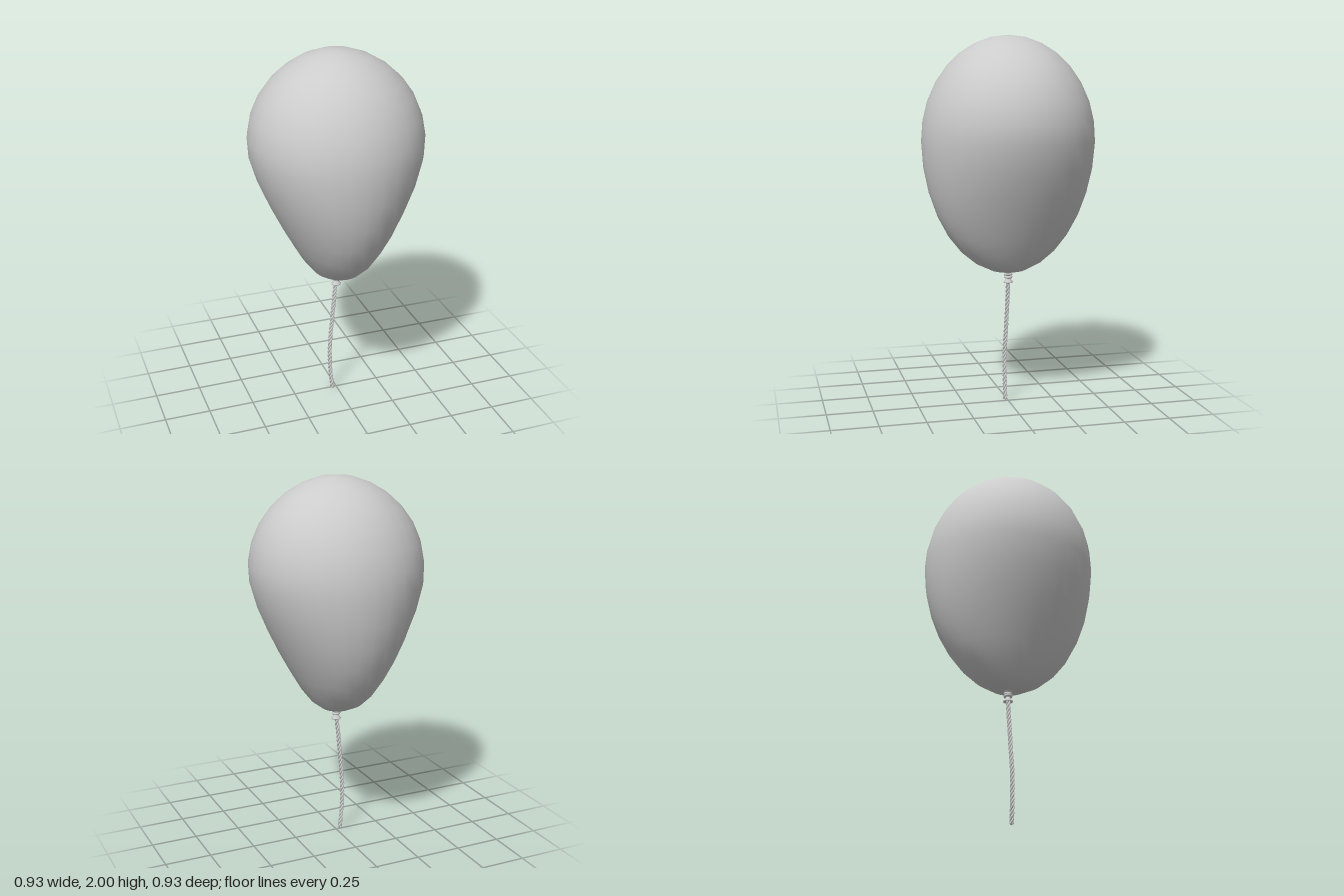
import * as THREE from 'three';
import { mergeVertices } from 'three/addons/utils/BufferGeometryUtils.js';

const material = new THREE.MeshStandardMaterial({ color: 0xcccccc });

function part(name, geometry) {
  const mesh = new THREE.Mesh(geometry, material);
  mesh.name = name;
  return mesh;
}

// Balloon skin: a sphere stretched downwards and pinched in x towards the neck
function balloonGeometry() {
  const rings = 16, radius = 0.465, widest = 1.44;
  const pinch = [1, 1, 1.02, 1.04, 1.05, 1.05, 1.04, 1.02, 0.985, 0.91, 0.83, 0.765, 0.72, 0.72, 0.76, 0.9, 1];
  let geo = new THREE.SphereGeometry(1, 32, rings);
  const p = geo.attributes.position;
  for (let i = 0; i < p.count; i++) {
    const y = p.getY(i);
    const ring = Math.round(Math.acos(THREE.MathUtils.clamp(y, -1, 1)) / Math.PI * rings);
    p.setXYZ(i,
      p.getX(i) * radius * pinch[ring],
      widest + y * (y > 0 ? 0.56 : 0.715),
      p.getZ(i) * radius);
  }
  geo.deleteAttribute('uv');
  geo.deleteAttribute('normal');
  geo = mergeVertices(geo, 1e-5);
  geo.computeVertexNormals();
  return geo;
}

// One strand of the twisted string, winding round the sagging centre line
class Strand extends THREE.Curve {
  constructor(path, phase) {
    super();
    this.path = path;
    this.phase = phase;
  }
  getPoint(t, target = new THREE.Vector3()) {
    const a = this.phase + t * 9 * Math.PI * 2;
    return target.copy(this.path.getPointAt(t))
      .add(new THREE.Vector3(Math.cos(a) * 0.006, 0, Math.sin(a) * 0.006));
  }
}

export function createModel() {
  const group = new THREE.Group();
  group.add(part('balloon', balloonGeometry()));

  // Neck with flared lip, hollow underneath
  const neckProfile = [[0, 0.682], [0.014, 0.675], [0.025, 0.668], [0.027, 0.673], [0.018, 0.682],
    [0.012, 0.694], [0.012, 0.708], [0.018, 0.72], [0.03, 0.735]].map(([r, y]) => new THREE.Vector2(r, y));
  group.add(part('neck', new THREE.LatheGeometry(neckProfile, 16)));

  // Two turns of string tied round the neck
  const knot = new THREE.Group();
  knot.name = 'knot';
  [[0.714, 0.12], [0.701, -0.15]].forEach(([y, tilt]) => {
    const loop = part('knotLoop', new THREE.TorusGeometry(0.016, 0.008, 8, 20));
    loop.rotation.set(Math.PI / 2, tilt, 0);
    loop.position.y = y;
    knot.add(loop);
  });
  group.add(knot);

  // Three-strand string hanging from the neck
  const path = new THREE.CatmullRomCurve3([[0, 0.69, 0], [-0.012, 0.58, 0.001], [-0.026, 0.44, 0.004],
    [-0.041, 0.27, 0.009], [-0.038, 0.12, 0.01], [-0.026, 0.006, 0.01]].map(q => new THREE.Vector3(...q)));
  const string = new THREE.Group();
  string.name = 'string';
  for (let i = 0; i < 3; i++) {
    const strand = new Strand(path, i * Math.PI * 2 / 3);
    string.add(part('strand', new THREE.TubeGeometry(strand, 150, 0.0062, 7)));
    // Rounded ends close the tube
    [0, 1].forEach(t => {
      const end = part('strandEnd', new THREE.SphereGeometry(0.0062, 8, 6));
      end.position.copy(strand.getPoint(t));
      string.add(end);
    });
  }
  group.add(string);
  return group;
}
